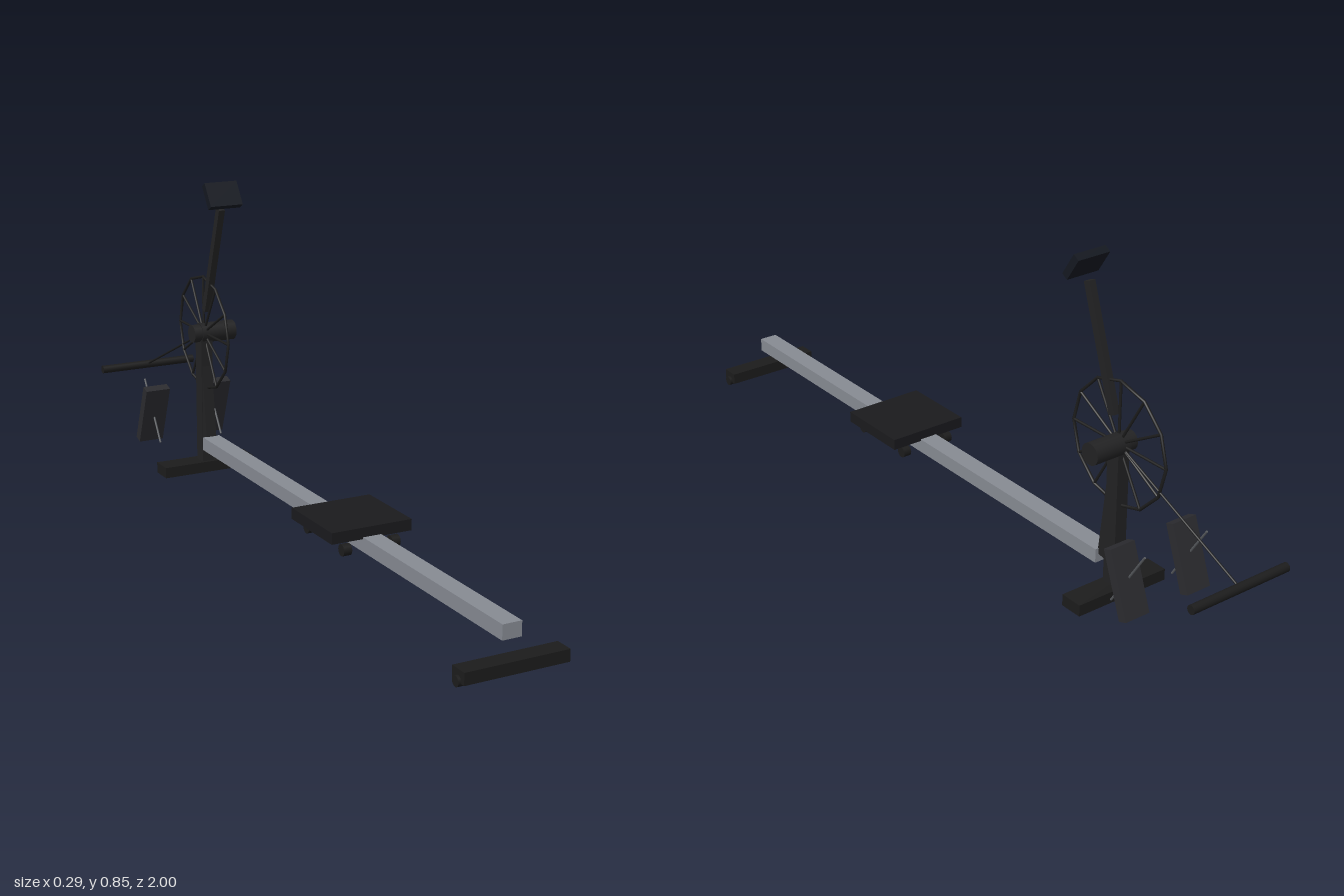
import * as THREE from 'three';

const mat = (color) => new THREE.MeshStandardMaterial({ color });
const black = mat(0x1c1c1c), frame = mat(0x222223), alloy = mat(0x868a92);
const pad = mat(0x1a1a1d), plate = mat(0x2b2b2f), steel = mat(0x55585c), screen = mat(0x141820);

export function createModel() {
  const root = new THREE.Group();

  const add = (name, geometry, material, x, y, z, parent = root) => {
    const mesh = new THREE.Mesh(geometry, material);
    mesh.name = name;
    mesh.position.set(x, y, z);
    parent.add(mesh);
    return mesh;
  };
  const box = (name, m, w, h, d, x, y, z, parent) =>
    add(name, new THREE.BoxGeometry(w, h, d), m, x, y, z, parent);
  // Cylinder lying along x
  const roller = (name, m, r, length, x, y, z, parent) =>
    add(name, new THREE.CylinderGeometry(r, r, length, 16).rotateZ(Math.PI / 2), m, x, y, z, parent);
  // Bar or rod between two points in the x = const plane, given as [y, z]
  const link = (name, m, geometryOf, x, [y1, z1], [y2, z2], parent) => {
    const mesh = add(name, geometryOf(Math.hypot(y2 - y1, z2 - z1)), m, x, (y1 + y2) / 2, (z1 + z2) / 2, parent);
    mesh.rotation.x = Math.atan2(z2 - z1, y2 - y1);
    return mesh;
  };
  const rod = (r) => (length) => new THREE.CylinderGeometry(r, r, length, 8);
  const bar = (w, d) => (length) => new THREE.BoxGeometry(w, length, d);

  // Rail and feet
  box('rail', alloy, 0.05, 0.037, 1.515, 0, 0.099, 0.216);
  box('frontFoot', black, 0.27, 0.03, 0.062, 0, 0.025, -0.584);
  box('rearFoot', black, 0.27, 0.03, 0.048, 0, 0.025, 0.976);
  for (const side of [-1, 1])
    roller('rearFootCap', black, 0.013, 0.034, side * 0.125, 0.013, 0.976);

  // Sliding seat
  box('seat', pad, 0.22, 0.029, 0.207, 0, 0.1275, 0.27);
  for (const side of [-1, 1])
    for (const z of [0.182, 0.362])
      roller('seatRoller', black, 0.015, 0.022, side * 0.067, 0.09, z);

  // Upright, brace and console
  box('post', frame, 0.034, 0.375, 0.038, 0, 0.222, -0.581);
  link('brace', frame, bar(0.03, 0.026), 0, [0.1, -0.55], [0.36, -0.58]);
  link('consoleArm', frame, bar(0.018, 0.02), 0, [0.478, -0.562], [0.778, -0.462]);
  box('console', screen, 0.094, 0.07, 0.02, 0, 0.817, -0.449).rotation.x = -0.58;

  // Flywheel in the x = 0 plane
  const wheel = new THREE.Group();
  wheel.name = 'flywheel';
  wheel.position.set(0, 0.41, -0.581);
  root.add(wheel);
  const radius = 0.16;
  add('rim', new THREE.TorusGeometry(radius, 0.004, 8, 12).rotateY(Math.PI / 2), black, 0, 0, 0, wheel);
  for (let i = 0; i < 12; i++) {
    const a = (i / 12) * Math.PI * 2;
    link('spoke', black, rod(0.0035), 0, [0, 0], [radius * Math.cos(a), radius * Math.sin(a)], wheel);
  }
  roller('hub', frame, 0.025, 0.074, 0, 0, 0, wheel);
  roller('drum', frame, 0.028, 0.102, 0.037, 0, 0, wheel);

  // Pull cord and handle
  link('cord', black, rod(0.003), 0, [0.41, -0.581], [0.225, -0.988]);
  roller('handle', black, 0.0115, 0.292, 0, 0.224, -0.9885);

  // Footplates, each crossed by a thin pin
  for (const side of [-1, 1]) {
    const x = side * 0.0955;
    link('footplate', plate, bar(0.072, 0.025), x, [0.068, -0.76], [0.232, -0.7]);
    link('footplatePin', steel, rod(0.003), x, [0.075, -0.68], [0.238, -0.786]);
  }
  return root;
}
